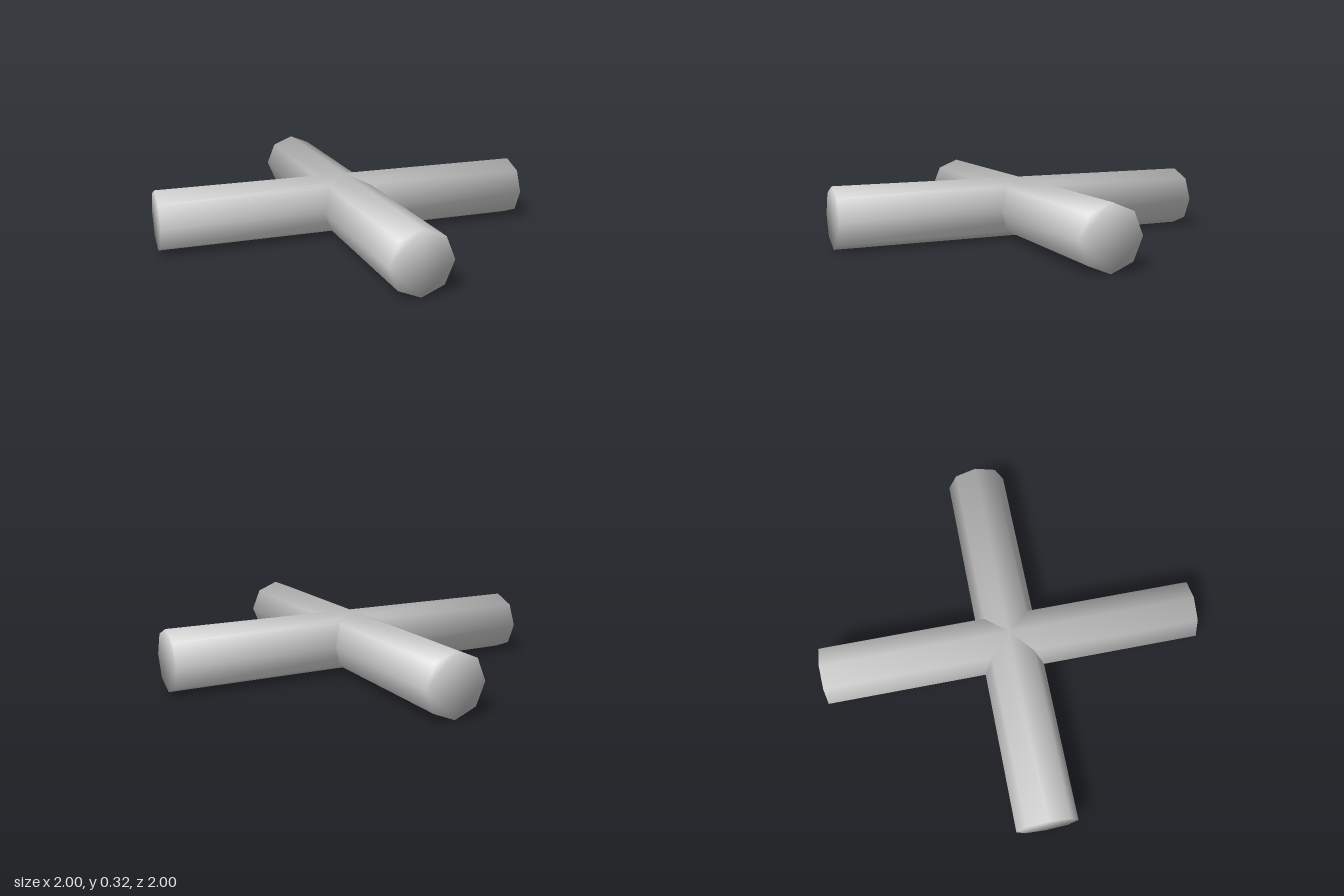
import * as THREE from 'three';

const RADIUS = 0.159, LENGTH = 2, SIDES = 8;

// Octagonal bar along z, centred on the origin, shaded smoothly over its ends
function barGeometry() {
  const points = [];
  for (let i = 0; i < SIDES; i++) {
    const a = (i / SIDES) * Math.PI * 2;
    points.push(new THREE.Vector2(Math.cos(a) * RADIUS, Math.sin(a) * RADIUS));
  }
  const geometry = new THREE.ExtrudeGeometry(new THREE.Shape(points), {
    depth: LENGTH, bevelEnabled: false, steps: 1,
  });
  geometry.translate(0, 0, -LENGTH / 2);

  // Corner normals lean halfway between the side and the end cap
  const pos = geometry.attributes.position, normal = geometry.attributes.normal;
  const n = new THREE.Vector3();
  for (let i = 0; i < pos.count; i++) {
    n.set(pos.getX(i) / RADIUS * 1.23, pos.getY(i) / RADIUS * 1.23, Math.sign(pos.getZ(i))).normalize();
    normal.setXYZ(i, n.x, n.y, n.z);
  }
  return geometry;
}

export function createModel() {
  const group = new THREE.Group();
  group.name = 'crossedBars';
  const material = new THREE.MeshStandardMaterial({ color: 0xcccccc });
  const geometry = barGeometry();

  // Two equal bars crossing at right angles
  ['lengthwiseBar', 'crosswiseBar'].forEach((name, i) => {
    const bar = new THREE.Mesh(geometry, material);
    bar.name = name;
    bar.position.y = RADIUS;
    bar.rotation.y = i * Math.PI / 2;
    group.add(bar);
  });
  return group;
}
